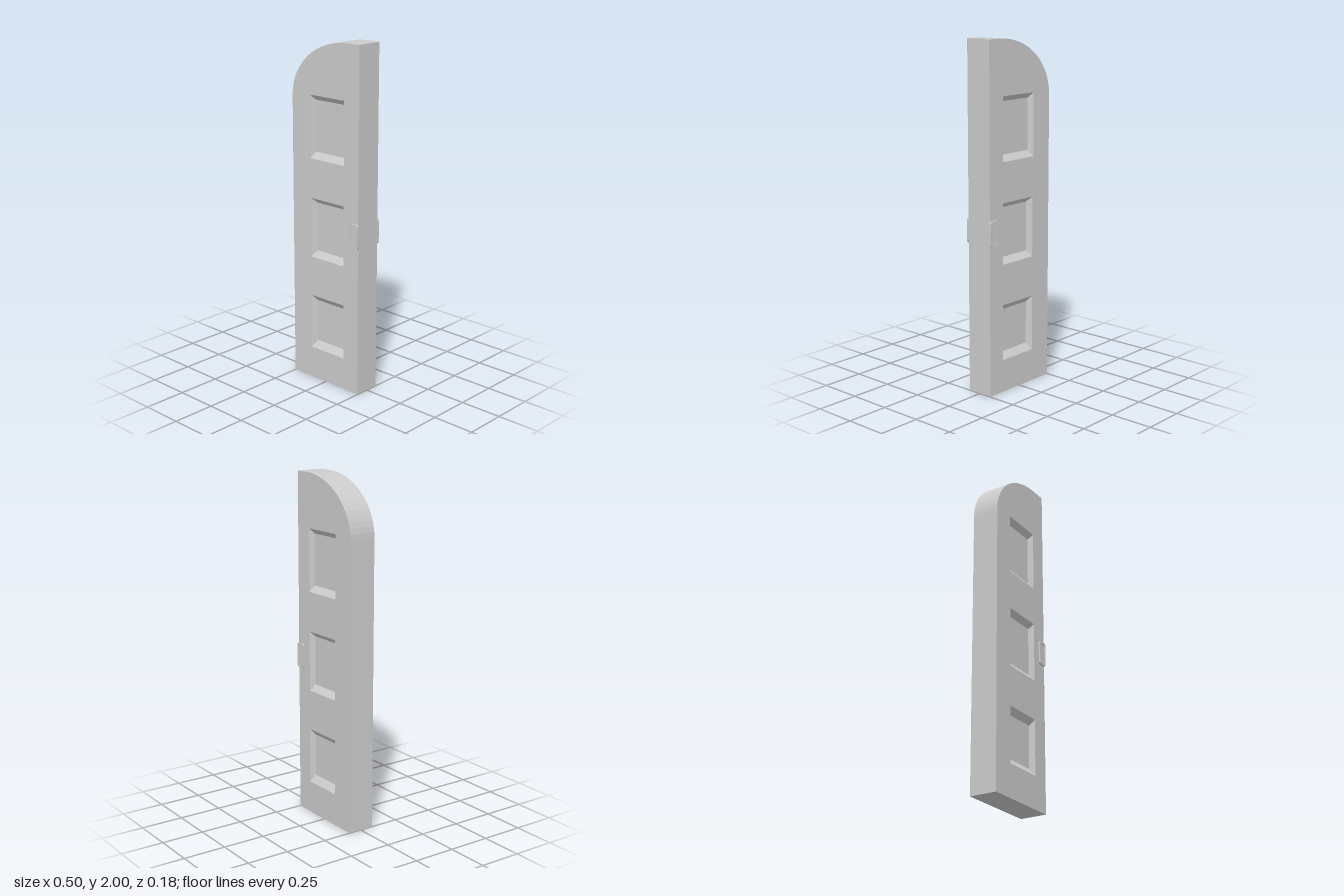
import * as THREE from 'three';

const HALF = 0.08;      // half thickness of the door leaf
const FLOOR = 0.05;     // depth position of the recessed panels

const material = new THREE.MeshStandardMaterial({ color: 0xcccccc, flatShading: true });

// Flat-shaded geometry from quads, corners counter-clockwise from outside
function quads(list) {
  const pos = [];
  for (const [a, b, c, d] of list) pos.push(...a, ...b, ...c, ...a, ...c, ...d);
  const geo = new THREE.BufferGeometry();
  geo.setAttribute('position', new THREE.Float32BufferAttribute(pos, 3));
  geo.computeVertexNormals();
  return geo;
}

// Mirror a geometry to the other face of the door, keeping its winding outward
function mirrorZ(geo) {
  const src = (geo.index ? geo.toNonIndexed() : geo).attributes.position;
  const pos = [];
  for (let i = 0; i < src.count; i += 3) {
    for (const k of [i, i + 2, i + 1]) pos.push(src.getX(k), src.getY(k), -src.getZ(k));
  }
  const out = new THREE.BufferGeometry();
  out.setAttribute('position', new THREE.Float32BufferAttribute(pos, 3));
  out.computeVertexNormals();
  return out;
}

const corners = ([x0, x1, y0, y1], z) => [[x0, y0, z], [x1, y0, z], [x1, y1, z], [x0, y1, z]];

function roundedRect(path, x0, x1, y0, y1, r) {
  path.moveTo(x0 + r, y0);
  path.lineTo(x1 - r, y0);
  path.quadraticCurveTo(x1, y0, x1, y0 + r);
  path.lineTo(x1, y1 - r);
  path.quadraticCurveTo(x1, y1, x1 - r, y1);
  path.lineTo(x0 + r, y1);
  path.quadraticCurveTo(x0, y1, x0, y1 - r);
  path.lineTo(x0, y0 + r);
  path.quadraticCurveTo(x0, y0, x0 + r, y0);
  return path;
}

// Recessed panels: outer and inner rectangles as [x0, x1, y0, y1]
const panels = [
  { outer: [-0.11, 0.14, 0.19, 0.515], inner: [-0.09, 0.125, 0.23, 0.48] },
  { outer: [-0.11, 0.14, 0.75, 1.10], inner: [-0.09, 0.125, 0.785, 1.07] },
  { outer: [-0.115, 0.14, 1.33, 1.69], inner: [-0.10, 0.125, 1.365, 1.66] },
];

export function createModel() {
  const door = new THREE.Group();
  door.name = 'doorLeaf';
  const addPart = (name, geo, parent = door) => {
    const mesh = new THREE.Mesh(geo, material);
    mesh.name = name;
    parent.add(mesh);
  };

  // Outline: straight hinge and bottom edges, quarter arch at the top
  const outline = [[-0.25, 0], [0.247, 0], [0.247, 2]];
  const steps = 16;
  for (let i = 0; i <= steps; i++) {
    const t = Math.PI / 2 * (1 + i / steps);
    outline.push([0.165 + 0.415 * Math.cos(t), 1.67 + 0.33 * Math.sin(t)]);
  }

  // Edge band around the leaf
  addPart('edgeBand', quads(outline.map((a, i) => {
    const b = outline[(i + 1) % outline.length];
    return [[...a, HALF], [...a, -HALF], [...b, -HALF], [...b, HALF]];
  })));

  // Face with an opening for each panel
  const face = new THREE.Shape(outline.map(([x, y]) => new THREE.Vector2(x, y)));
  for (const { outer } of panels) {
    const points = corners(outer, 0).map(([x, y]) => new THREE.Vector2(x, y));
    face.holes.push(new THREE.Path(points.reverse()));
  }
  const faceGeo = new THREE.ShapeGeometry(face).translate(0, 0, HALF);

  // Panels: four sloping sides and a flat floor
  const panelGeos = panels.map(({ outer, inner }) => {
    const o = corners(outer, HALF), n = corners(inner, FLOOR);
    const sides = o.map((a, i) => [a, o[(i + 1) % 4], n[(i + 1) % 4], n[i]]);
    return quads([...sides, n]);
  });

  // Flush pull: a thin raised rim with rounded corners
  const rim = roundedRect(new THREE.Shape(), 0.19, 0.25, 0.87, 1.015, 0.016);
  rim.holes.push(roundedRect(new THREE.Path(), 0.201, 0.242, 0.884, 1.002, 0.01));
  const pullGeo = new THREE.ExtrudeGeometry(rim, {
    depth: 0.014, bevelEnabled: false, curveSegments: 5,
  }).translate(0, 0, HALF - 0.004);
  const plate = roundedRect(new THREE.Shape(), 0.195, 0.247, 0.876, 1.009, 0.012);
  const plateGeo = new THREE.ExtrudeGeometry(plate, {
    depth: 0.01, bevelEnabled: false, curveSegments: 5,
  }).translate(0, 0, HALF - 0.004);

  // Both faces carry the same parts
  for (const [name, place] of [['front', (g) => g], ['back', mirrorZ]]) {
    const side = new THREE.Group();
    side.name = name + 'Side';
    addPart(name + 'Face', place(faceGeo), side);
    panelGeos.forEach((g, i) => addPart(name + 'Panel' + (i + 1), place(g), side));
    addPart(name + 'PullRim', place(pullGeo), side);
    addPart(name + 'PullPlate', place(plateGeo), side);
    door.add(side);
  }
  return door;
}
